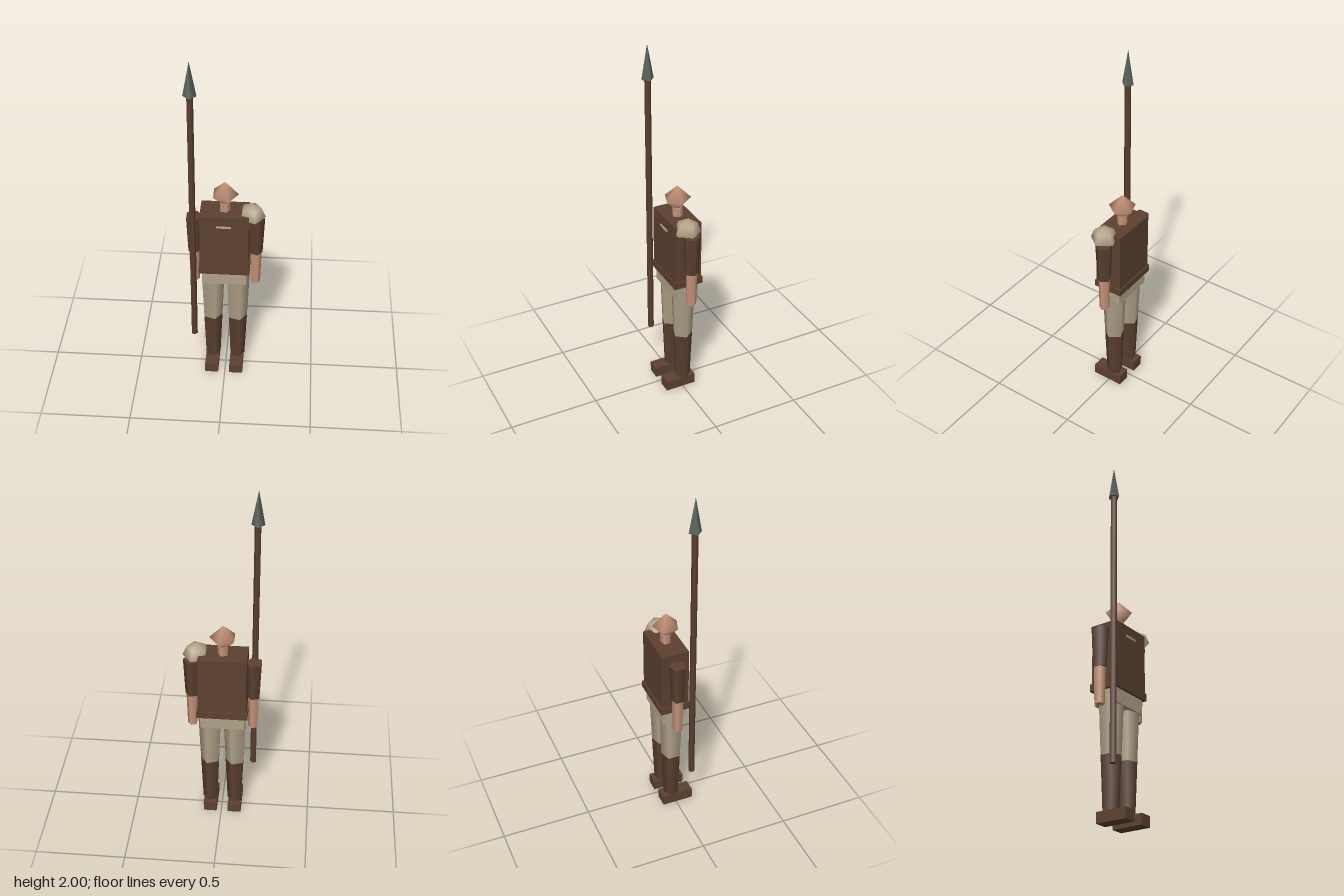
import * as THREE from 'three';

const material = (name, color) => {
  const m = new THREE.MeshStandardMaterial({ color });
  m.name = name;
  return m;
};

export function createModel() {
  const leather = material('brown leather', 0x5c4030);
  const skin = material('skin', 0xc9967a);
  const cloth = material('pale cloth', 0xb0a288);
  const steel = material('dark steel', 0x5f6762);
  const padCloth = material('shoulder pad cloth', 0xb5a68a);
  padCloth.side = THREE.DoubleSide;

  const model = new THREE.Group();
  model.name = 'spearman';
  const CX = -0.006, CZ = -0.018; // axis of the body
  const SIDES = 5;

  const add = (name, geometry, mat, x, y, z, parent = model) => {
    const mesh = new THREE.Mesh(geometry, mat);
    mesh.name = name;
    mesh.position.set(x, y, z);
    parent.add(mesh);
    return mesh;
  };
  const box = (name, mat, w, d, y0, y1, x, z, parent) =>
    add(name, new THREE.BoxGeometry(w, y1 - y0, d), mat, x, (y0 + y1) / 2, z, parent);
  // Tapered prism with one corner pointing to +x
  const limb = (name, mat, rTop, rBottom, y0, y1, x, z, parent, sides = SIDES) => {
    const g = new THREE.CylinderGeometry(rTop, rBottom, y1 - y0, sides);
    g.rotateY(Math.PI / 2);
    return add(name, g, mat, x, (y0 + y1) / 2, z, parent);
  };

  // Trunk
  box('torso', leather, 0.264, 0.155, 0.72, 1.077, CX, CZ);
  box('belt', leather, 0.279, 0.168, 0.70, 0.74, CX, -0.019);
  box('hips', cloth, 0.242, 0.134, 0.62, 0.70, -0.007, CZ);
  box('chestClasp', padCloth, 0.081, 0.008, 1.01, 1.021, -0.008, 0.06);

  // Neck and head
  limb('neck', skin, 0.03, 0.03, 1.077, 1.13, CX, CZ);
  const head = new THREE.SphereGeometry(0.075, SIDES, 2);
  head.rotateY(Math.PI);
  add('head', head, skin, CX, 1.18, CZ);

  // Arms and legs
  for (const side of [-1, 1]) {
    const label = side > 0 ? 'left' : 'right';
    const arm = new THREE.Group();
    arm.name = label + 'Arm';
    model.add(arm);
    const ax = CX + side * 0.168;
    limb('sleeve', leather, 0.048, 0.038, 0.805, 1.03, ax, CZ, arm);
    limb('forearm', skin, 0.033, 0.028, 0.602, 0.805, ax, CZ, arm);

    const leg = new THREE.Group();
    leg.name = label + 'Leg';
    model.add(leg);
    const lx = CX + side * 0.07;
    limb('trouserLeg', cloth, 0.0686, 0.056, 0.35, 0.665, lx, -0.015, leg);
    limb('boot', leather, 0.056, 0.044, 0.06, 0.35, lx, -0.015, leg);
    box('foot', leather, 0.075, 0.178, 0, 0.06, lx, 0.011, leg);
  }

  // Open half-dome over the left shoulder
  const dome = new THREE.SphereGeometry(0.075, SIDES, 2, 0, Math.PI * 2, 0, Math.PI / 2);
  dome.rotateY(Math.PI);
  add('shoulderPad', dome, padCloth, 0.138, 1.051, -0.004);

  // Spear beside the right hand
  const spear = new THREE.Group();
  spear.name = 'spear';
  model.add(spear);
  limb('shaft', leather, 0.018, 0.018, 0.27, 1.81, -0.174, 0.068, spear);
  const tip = new THREE.ConeGeometry(0.035, 0.19, 4);
  add('spearhead', tip, steel, -0.174, 1.905, 0.067, spear);

  return model;
}
